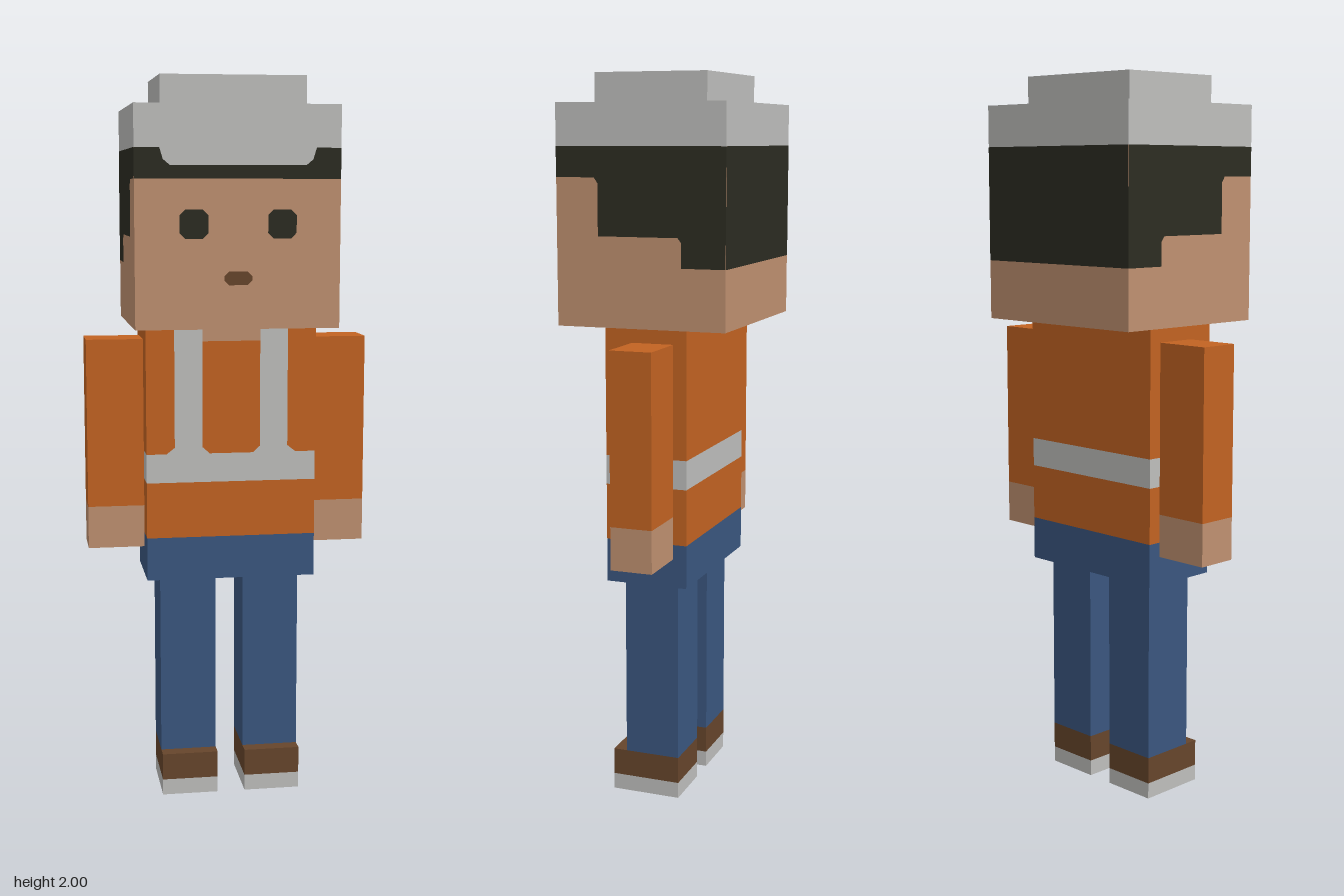
import * as THREE from 'three';

const paint = (name, color) => {
  const m = new THREE.MeshStandardMaterial({ color });
  m.name = name;
  return m;
};

export function createModel() {
  const skin = paint('skin', 0xbf9070);
  const orange = paint('orange cloth', 0xc26322);
  const grey = paint('light grey', 0xbebebc);
  const hair = paint('dark hair', 0x2c2c22);
  const blue = paint('blue denim', 0x3a567f);
  const brown = paint('brown leather', 0x66452b);

  const model = new THREE.Group();
  model.name = 'blockWorker';

  // Box given by its limits on each axis
  const box = (name, mat, [x0, x1], [y0, y1], [z0, z1]) => {
    const mesh = new THREE.Mesh(new THREE.BoxGeometry(x1 - x0, y1 - y0, z1 - z0), mat);
    mesh.position.set((x0 + x1) / 2, (y0 + y1) / 2, (z0 + z1) / 2);
    mesh.name = name;
    model.add(mesh);
  };

  // Flat painted face, set at a distance from the axis and turned about y
  const plate = (name, mat, points, distance, turn = 0) => {
    const shape = new THREE.Shape(points.map(([x, y]) => new THREE.Vector2(x, y)));
    const geometry = new THREE.ShapeGeometry(shape).translate(0, 0, distance).rotateY(turn);
    const mesh = new THREE.Mesh(geometry, mat);
    mesh.name = name;
    model.add(mesh);
  };
  const rect = (x0, x1, y0, y1) => [[x0, y0], [x1, y0], [x1, y1], [x0, y1]];
  // Rectangle with cut corners
  const cutRect = (cx, cy, w, h, c) => [
    [cx - w + c, cy - h], [cx + w - c, cy - h], [cx + w, cy - h + c], [cx + w, cy + h - c],
    [cx + w - c, cy + h], [cx - w + c, cy + h], [cx - w, cy + h - c], [cx - w, cy - h + c],
  ];

  // Head and helmet
  const headX = [-0.273, 0.273], headZ = [-0.236, 0.236];
  box('head', skin, headX, [1.338, 1.81], headZ);
  box('helmet', grey, headX, [1.81, 1.922], headZ);
  box('helmetTop', grey, [-0.196, 0.196], [1.922, 2], [-0.157, 0.157]);

  // Hair on all four sides of the head
  plate('hairFront', hair, rect(-0.273, 0.273, 1.73, 1.81), 0.2365);
  plate('hairBack', hair, rect(-0.273, 0.273, 1.5, 1.81), 0.2365, Math.PI);
  const hairSide = [
    [0.236, 1.81], [0.236, 1.73], [0.128, 1.73], [0.118, 1.715], [0.118, 1.578],
    [-0.105, 1.578], [-0.115, 1.565], [-0.115, 1.5], [-0.236, 1.5], [-0.236, 1.81],
  ];
  plate('hairRight', hair, hairSide, 0.2735, -Math.PI / 2);
  plate('hairLeft', hair, hairSide.map(([z, y]) => [-z, y]), 0.2735, Math.PI / 2);

  // Helmet peak over the fringe
  plate('helmetPeak', grey, [
    [-0.207, 1.81], [-0.198, 1.78], [-0.18, 1.765], [0.18, 1.765], [0.198, 1.78], [0.207, 1.81],
  ], 0.238);

  // Face
  for (const side of [-1, 1]) plate('eye', hair, cutRect(side * 0.117, 1.613, 0.038, 0.038, 0.015), 0.2375);
  plate('mouth', brown, cutRect(0, 1.472, 0.037, 0.018, 0.012), 0.2375);

  // Torso in stacked colour bands
  const torsoX = [-0.235, 0.235], torsoZ = [-0.116, 0.116];
  box('hips', blue, torsoX, [0.63, 0.75], torsoZ);
  box('lowerJacket', orange, torsoX, [0.75, 0.905], torsoZ);
  box('reflectiveBelt', grey, torsoX, [0.905, 0.985], torsoZ);
  box('upperJacket', orange, torsoX, [0.985, 1.338], torsoZ);
  plate('neckOpening', skin, rect(-0.08, 0.08, 1.295, 1.338), 0.1165);

  for (const side of [-1, 1]) {
    const span = (a, b) => (side > 0 ? [a, b] : [-b, -a]);

    // Reflective strap, flared where it meets the belt
    plate('reflectiveStrap', grey, [
      [0.06, 0.985], [0.08, 1.003], [0.08, 1.338], [0.157, 1.338], [0.157, 1.003], [0.18, 0.985],
    ].map(([x, y]) => [side * x, y]), 0.117);

    // Arm
    const armX = span(0.235, 0.392), armZ = [-0.078, 0.039];
    box('sleeve', orange, armX, [0.828, 1.296], armZ);
    box('hand', skin, armX, [0.71, 0.828], armZ);

    // Leg and shoe
    const legX = span(0.039, 0.196);
    box('leg', blue, legX, [0.12, 0.63], [-0.078, 0.078]);
    box('shoe', brown, legX, [0.045, 0.12], [-0.078, 0.117]);
    box('sole', grey, legX, [0, 0.045], [-0.078, 0.117]);
  }
  return model;
}
